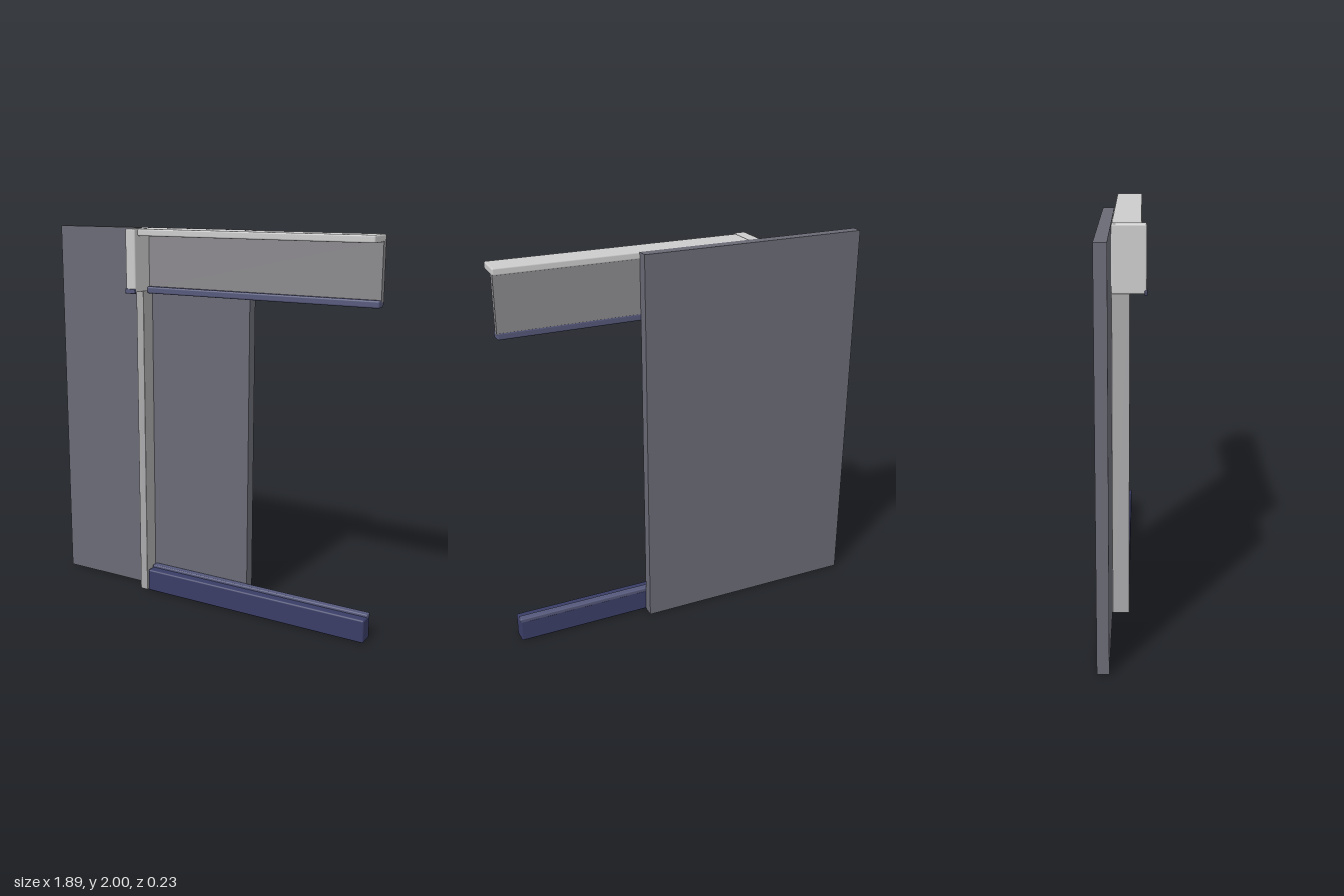
import * as THREE from 'three';
import { RoundedBoxGeometry } from 'three/addons/geometries/RoundedBoxGeometry.js';

const material = (color) => new THREE.MeshStandardMaterial({ color });

const COLORS = {
  panel: material(0x6a6a76),
  trim: material(0xcccccc),
  post: material(0xaaaaac),
  fascia: material(0x8a888c),
  moulding: material(0x55587a),
  skirting: material(0x3a3d66),
};

// Block given by its limits on each axis; radius softens the edges.
function block(name, [x0, x1], [y0, y1], [z0, z1], mat, radius = 0) {
  const size = [x1 - x0, y1 - y0, z1 - z0];
  const geometry = radius
    ? new RoundedBoxGeometry(...size, 2, radius)
    : new THREE.BoxGeometry(...size);
  const mesh = new THREE.Mesh(geometry, mat);
  mesh.position.set((x0 + x1) / 2, (y0 + y1) / 2, (z0 + z1) / 2);
  mesh.name = name;
  return mesh;
}

export function createModel() {
  const model = new THREE.Group();
  model.name = 'wallSection';

  const back = -0.055;
  const run = [-0.342, 0.945];

  // Large backing panel
  model.add(block('backPanel', [-0.95, 0.24], [0, 2], [-0.113, back], COLORS.panel));

  // Upright and the bracket on top of it
  model.add(block('post', [-0.392, -0.346], [0, 1.69], [back, 0.032], COLORS.post, 0.004));
  model.add(block('postBracket', [-0.402, -0.342], [1.677, 2], [back, 0.11], COLORS.trim, 0.008));
  model.add(block('bracketTrim', [-0.405, -0.342], [1.67, 1.695], [0.1, 0.114], COLORS.moulding, 0.004));

  // Upper rail: cornice, recessed fascia and lower moulding
  const upperRail = new THREE.Group();
  upperRail.name = 'upperRail';
  upperRail.add(
    block('cornice', run, [1.964, 2], [back, 0.088], COLORS.trim, 0.008),
    block('fascia', run, [1.69, 1.97], [-0.053, -0.02], COLORS.fascia),
    block('lowerMoulding', run, [1.664, 1.7], [back, 0.006], COLORS.moulding, 0.009),
  );
  model.add(upperRail);

  // Skirting with a narrow lip along its top
  const skirting = new THREE.Group();
  skirting.name = 'skirting';
  skirting.add(
    block('skirtingBoard', run, [0, 0.122], [-0.052, 0.031], COLORS.skirting, 0.009),
    block('skirtingLip', run, [0.112, 0.136], [back, -0.016], COLORS.moulding, 0.006),
  );
  model.add(skirting);

  return model;
}
